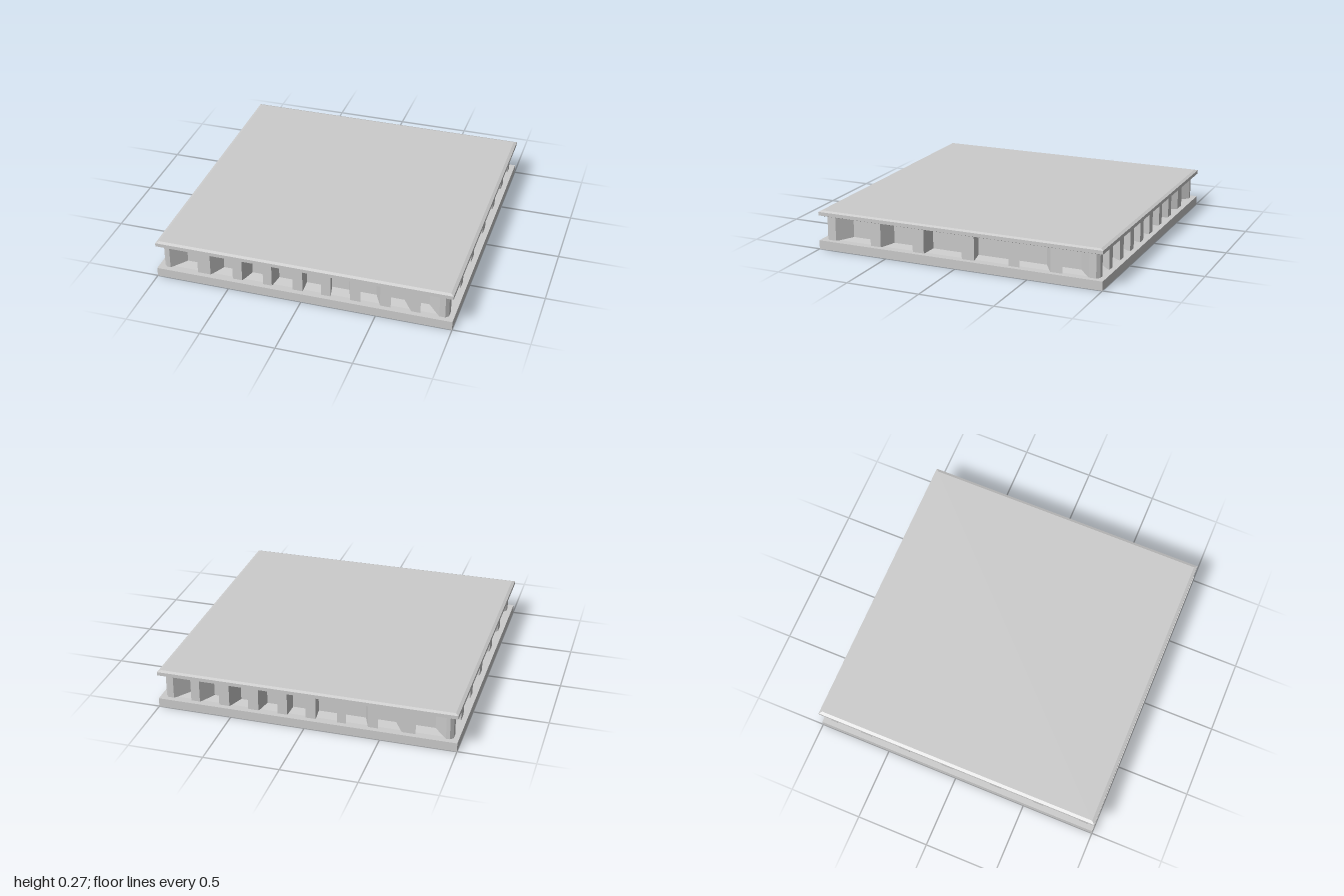
import * as THREE from 'three';

const HALF = 0.965; // half width of the ribbed core at its outer face
const INSET = 0.905; // pockets shrink toward the centre by this factor
const CHAMFER = 0.02;

// Pocket openings along the front (x, left to right) and the side (z, front to back)
const FRONT = [[-0.92, -0.725], [-0.636, -0.48], [-0.415, -0.27], [-0.21, -0.067], [0, 0.125],
  [0.19, 0.32], [0.39, 0.52], [0.59, 0.725], [0.785, 0.907]];
const SIDE = [[0.893, 0.63], [0.556, 0.32], [0.24, -0.032], [-0.118, -0.358], [-0.433, -0.642], [-0.722, -0.898]];
const reversed = (pairs) => pairs.map(([a, b]) => [b, a]).reverse();

export function createModel() {
  const group = new THREE.Group();
  const material = new THREE.MeshStandardMaterial({ color: 0xcccccc, flatShading: true });
  const add = (name, geometry, y) => {
    const mesh = new THREE.Mesh(geometry, material);
    mesh.name = name;
    mesh.position.y = y;
    group.add(mesh);
  };

  // Extrude a plan outline (x, -z) upward
  const rise = (points, options) =>
    new THREE.ExtrudeGeometry(new THREE.Shape(points), { bevelEnabled: false, ...options }).rotateX(-Math.PI / 2);

  // Bottom slab
  add('bottomSlab', new THREE.BoxGeometry(2, 0.06, 2), 0.03);

  // Top slab with small chamfers above and below
  const s = 1;
  const square = [[-s, -s], [s, -s], [s, s], [-s, s]].map((p) => new THREE.Vector2(...p));
  add('topSlab', rise(square, {
    depth: 0.024, bevelEnabled: true, bevelThickness: 0.008, bevelSize: 0.02, bevelOffset: -0.02, bevelSegments: 1,
  }), 0.233);

  // Core wall with pockets on all four sides, outlined counter-clockwise from the front left corner
  const sides = [
    [FRONT, (t, d) => [t, -d]],
    [SIDE, (t, d) => [d, -t]],
    [reversed(FRONT), (t, d) => [t, d]],
    [reversed(SIDE), (t, d) => [-d, -t]],
  ];
  const outline = [];
  for (const [pockets, place] of sides) {
    const put = (t, d) => outline.push(new THREE.Vector2(...place(t, d)));
    const direction = Math.sign(pockets[0][1] - pockets[0][0]);
    put(-direction * (HALF - CHAMFER), HALF);
    for (const [a, b] of pockets) {
      put(a, HALF);
      put(a * INSET, HALF * INSET);
      put(b * INSET, HALF * INSET);
      put(b, HALF);
    }
    put(direction * (HALF - CHAMFER), HALF);
  }
  add('ribbedCore', rise(outline, { depth: 0.165 }), 0.06);

  // Sloped floors and ceilings of the pockets
  const slope = (bottom, top) =>
    new THREE.CylinderGeometry(top * Math.SQRT2, bottom * Math.SQRT2, 0.011, 4).rotateY(Math.PI / 4);
  const outer = HALF - 0.012;
  add('pocketFloors', slope(outer, HALF * INSET), 0.0645);
  add('pocketCeilings', slope(HALF * INSET, outer), 0.2195);

  return group;
}
